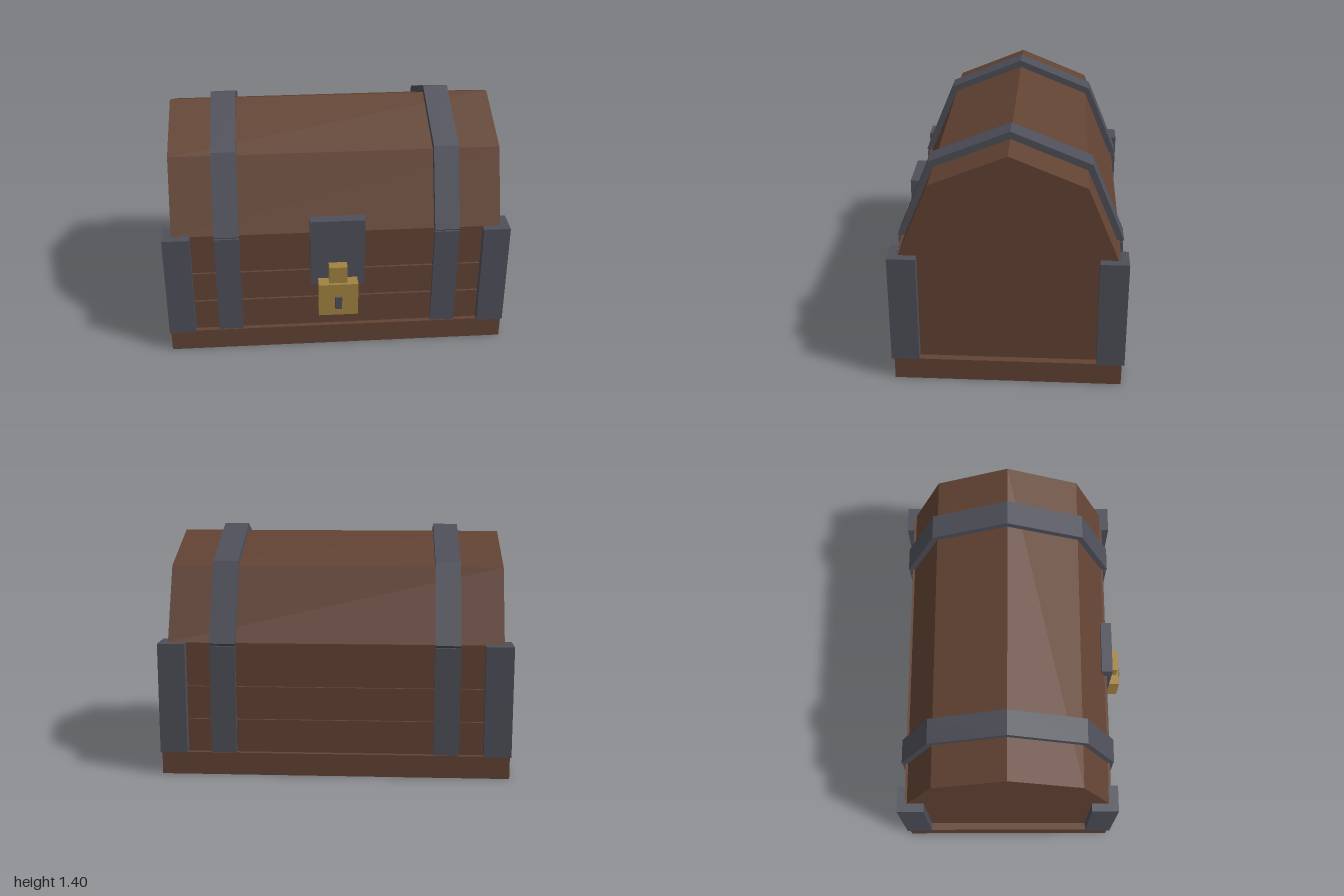
import * as THREE from 'three';

const wood = new THREE.MeshStandardMaterial({ color: 0x62422f, name: 'brownWood' });
const iron = new THREE.MeshStandardMaterial({ color: 0x4e4f59, name: 'greyIron' });
const brass = new THREE.MeshStandardMaterial({ color: 0xa18240, name: 'goldBrass' });
wood.color.set(0x624333);

// Box given by its lower and upper corners
function box(parent, name, material, [x0, y0, z0], [x1, y1, z1]) {
  const mesh = new THREE.Mesh(new THREE.BoxGeometry(x1 - x0, y1 - y0, z1 - z0), material);
  mesh.position.set((x0 + x1) / 2, (y0 + y1) / 2, (z0 + z1) / 2);
  mesh.name = name;
  parent.add(mesh);
  return mesh;
}

// Extrude a [z, y] outline along x from x0 to x1
function extrudeX(parent, name, material, outline, x0, x1) {
  const shape = new THREE.Shape(outline.map(([z, y]) => new THREE.Vector2(-z, y)));
  const geometry = new THREE.ExtrudeGeometry(shape, { depth: x1 - x0, bevelEnabled: false });
  geometry.rotateY(Math.PI / 2).translate(x0, 0, 0);
  const mesh = new THREE.Mesh(geometry, material);
  mesh.name = name;
  parent.add(mesh);
}

// Half profile (front side) mirrored to the back
const mirrored = (half) => [...half, ...half.slice(0, -1).reverse().map(([z, y]) => [-z, y])];

export function createModel() {
  const model = new THREE.Group();
  model.name = 'treasureChest';

  // The chest sits slightly back so that the lock is inside the depth
  const chest = new THREE.Group();
  chest.name = 'chest';
  chest.position.z = -0.038;
  model.add(chest);

  box(chest, 'base', wood, [-0.993, 0, -0.637], [0.993, 0.13, 0.637]);

  // Body core and faceted lid share one profile
  const lidHalf = [[0.595, 0.765], [0.422, 1.182], [0, 1.355]];
  extrudeX(chest, 'bodyAndLid', wood, mirrored([[0.595, 0.12], ...lidHalf]), -0.95, 0.95);

  // Planks on front and back, with grooves between them
  for (const side of [1, -1]) {
    for (const [y0, y1] of [[0.13, 0.32], [0.346, 0.512], [0.536, 0.765]]) {
      const plank = box(chest, 'plank', wood, [-0.93, y0, 0.58], [0.93, y1, 0.609]);
      plank.position.z *= side;
    }
  }

  // Iron straps over the lid and down both faces
  const outer = mirrored([[0.634, 0.765], [0.449, 1.213], [0, 1.397]]);
  const inner = mirrored([[0.59, 0.73], [0.4, 1.17], [0, 1.34]]).reverse();
  for (const x of [-0.635, 0.635]) {
    extrudeX(chest, 'lidStrap', iron, [...outer, ...inner], x - 0.072, x + 0.072);
    for (const side of [1, -1]) {
      const strap = box(chest, 'bodyStrap', iron, [x - 0.072, 0.13, 0.58], [x + 0.072, 0.75, 0.63]);
      strap.position.z *= side;
    }
  }

  // Corner guards
  for (const sx of [1, -1]) {
    for (const sz of [1, -1]) {
      const guard = box(chest, 'cornerGuard', iron, [0.844, 0.13, 0.495], [1, 0.765, 0.652]);
      guard.position.x *= sx;
      guard.position.z *= sz;
    }
  }

  // Hasp plate and padlock
  const lock = new THREE.Group();
  lock.name = 'lock';
  model.add(lock);
  box(lock, 'haspPlate', iron, [-0.158, 0.427, 0.535], [0.158, 0.85, 0.6]);
  box(lock, 'lockBody', brass, [-0.115, 0.26, 0.59], [0.115, 0.47, 0.678]);
  box(lock, 'lockShackle', brass, [-0.053, 0.46, 0.59], [0.053, 0.575, 0.66]);
  box(lock, 'keyhole', iron, [-0.02, 0.31, 0.67], [0.02, 0.386, 0.692]);

  return model;
}
